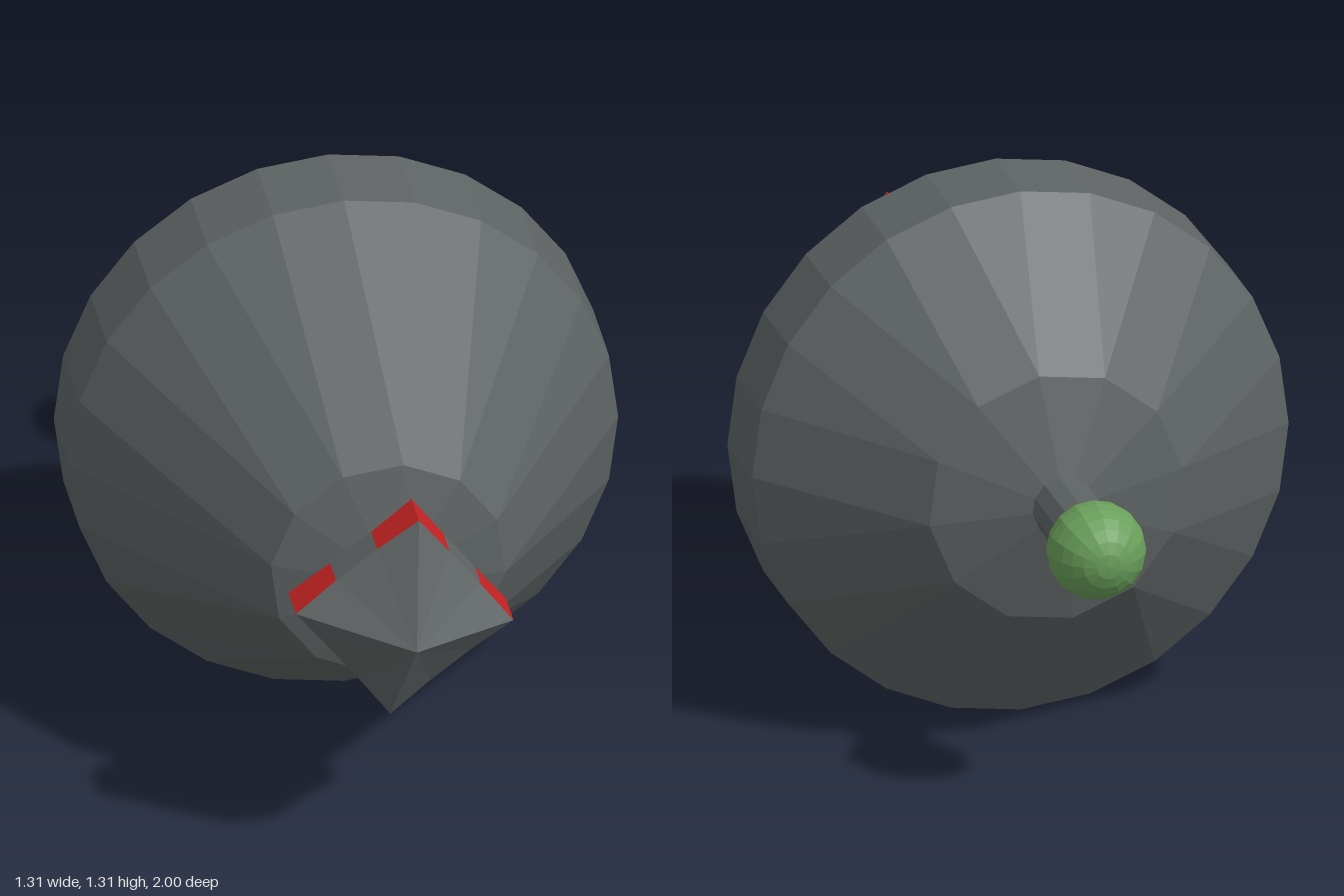
import * as THREE from 'three';

const STEEL = new THREE.MeshStandardMaterial({ color: 0x5e6363 });
STEEL.name = 'dark steel';
const RED = new THREE.MeshStandardMaterial({ color: 0xc42222 });
RED.name = 'red';
const GREEN = new THREE.MeshStandardMaterial({ color: 0x6a9f5b });
GREEN.name = 'green';

const AXIS_Y = 0.655; // height of the long axis, which runs along z
const TWIST = 7.5; // the small rings sit turned by half a body facet

// Point on a ring: angle in degrees, clockwise from the top as seen from the front
function ringPoint(radius, degrees, z) {
  const a = THREE.MathUtils.degToRad(degrees);
  return new THREE.Vector3(radius * Math.sin(a), radius * Math.cos(a), z);
}

// Flat-faced mesh from convex polygons (corner lists, counter-clockwise from outside)
function facetMesh(name, polygons, material) {
  const points = [];
  for (const p of polygons) {
    for (let i = 1; i < p.length - 1; i++) points.push(p[0], p[i], p[i + 1]);
  }
  const geometry = new THREE.BufferGeometry().setFromPoints(points);
  geometry.computeVertexNormals();
  const mesh = new THREE.Mesh(geometry, material);
  mesh.name = name;
  return mesh;
}

// Quads between a rear ring and a front ring with the same number of sides
function band(sides, turn, r0, z0, r1, z1) {
  const polygons = [];
  const step = 360 / sides;
  for (let i = 0; i < sides; i++) {
    const a = turn + i * step, b = a + step;
    polygons.push([ringPoint(r0, b, z0), ringPoint(r0, a, z0), ringPoint(r1, a, z1), ringPoint(r1, b, z1)]);
  }
  return polygons;
}

// Slope from the 24-sided belt to a 12-sided ring, in front of or behind it
function slope(beltR, beltZ, ringR, ringZ) {
  const polygons = [];
  for (let k = 0; k < 12; k++) {
    const a = [0, 15, 30].map((d) => ringPoint(beltR, 30 * k + d, beltZ));
    const b = [0, 30].map((d) => ringPoint(ringR, 30 * k + TWIST + d, ringZ));
    const pair = [[a[1], a[0], b[0]], [a[2], a[1], b[0], b[1]]];
    if (ringZ < beltZ) pair.forEach((p) => p.reverse());
    polygons.push(...pair);
  }
  return polygons;
}

// Four-sided pointed head with a slightly pinched rim, red at the corners
function buildHead() {
  const head = new THREE.Group();
  head.name = 'head';
  const steel = [], red = [];
  const tip = new THREE.Vector3(0, 0, 1), back = new THREE.Vector3(0, 0, 0.73);
  for (let i = 0; i < 4; i++) {
    const c0 = ringPoint(0.262, TWIST + 90 * i, 0);
    const c1 = ringPoint(0.262, TWIST + 90 * (i + 1), 0);
    const rim = [0, 1 / 3, 2 / 3, 1].map((t) => {
      const p = c0.clone().lerp(c1, t);
      const corner = t === 0 || t === 1;
      return {
        front: p.clone().setZ(corner ? 0.832 : 0.82),
        rear: p.clone().setZ(corner ? 0.73 : 0.738),
      };
    });
    for (let j = 0; j < 3; j++) {
      const p = rim[j], q = rim[j + 1];
      (j === 1 ? steel : red).push([q.rear, p.rear, p.front, q.front]);
      steel.push([tip, q.front, p.front], [back, p.rear, q.rear]);
    }
  }
  head.add(facetMesh('headFaces', steel, STEEL), facetMesh('redCorners', red, RED));
  return head;
}

export function createModel() {
  const model = new THREE.Group();
  model.name = 'spinningBody';
  const top = new THREE.Group();
  top.name = 'assembly';
  top.position.y = AXIS_Y;
  model.add(top);

  // Body: belt, front cone, rear cone and the two shallow shoulders
  top.add(
    facetMesh('belt', band(24, 0, 0.655, -0.218, 0.655, 0), STEEL),
    facetMesh('frontCone', slope(0.655, 0, 0.282, 0.605), STEEL),
    facetMesh('frontShoulder', band(12, TWIST, 0.282, 0.605, 0.12, 0.645), STEEL),
    facetMesh('rearCone', slope(0.655, -0.218, 0.312, -0.53), STEEL),
    facetMesh('rearShoulder', band(12, TWIST, 0.076, -0.597, 0.312, -0.53), STEEL),
  );

  // Neck and pointed head
  top.add(facetMesh('neck', band(12, TWIST, 0.12, 0.645, 0.12, 0.735), STEEL), buildHead());

  // Stem with a round knob
  top.add(facetMesh('stem', band(12, TWIST, 0.076, -0.81, 0.076, -0.597), STEEL));
  const ball = new THREE.SphereGeometry(0.118, 16, 12).toNonIndexed();
  ball.rotateX(Math.PI / 2);
  ball.computeVertexNormals();
  const knob = new THREE.Mesh(ball, GREEN);
  knob.name = 'knob';
  knob.position.z = -0.882;
  top.add(knob);

  return model;
}
